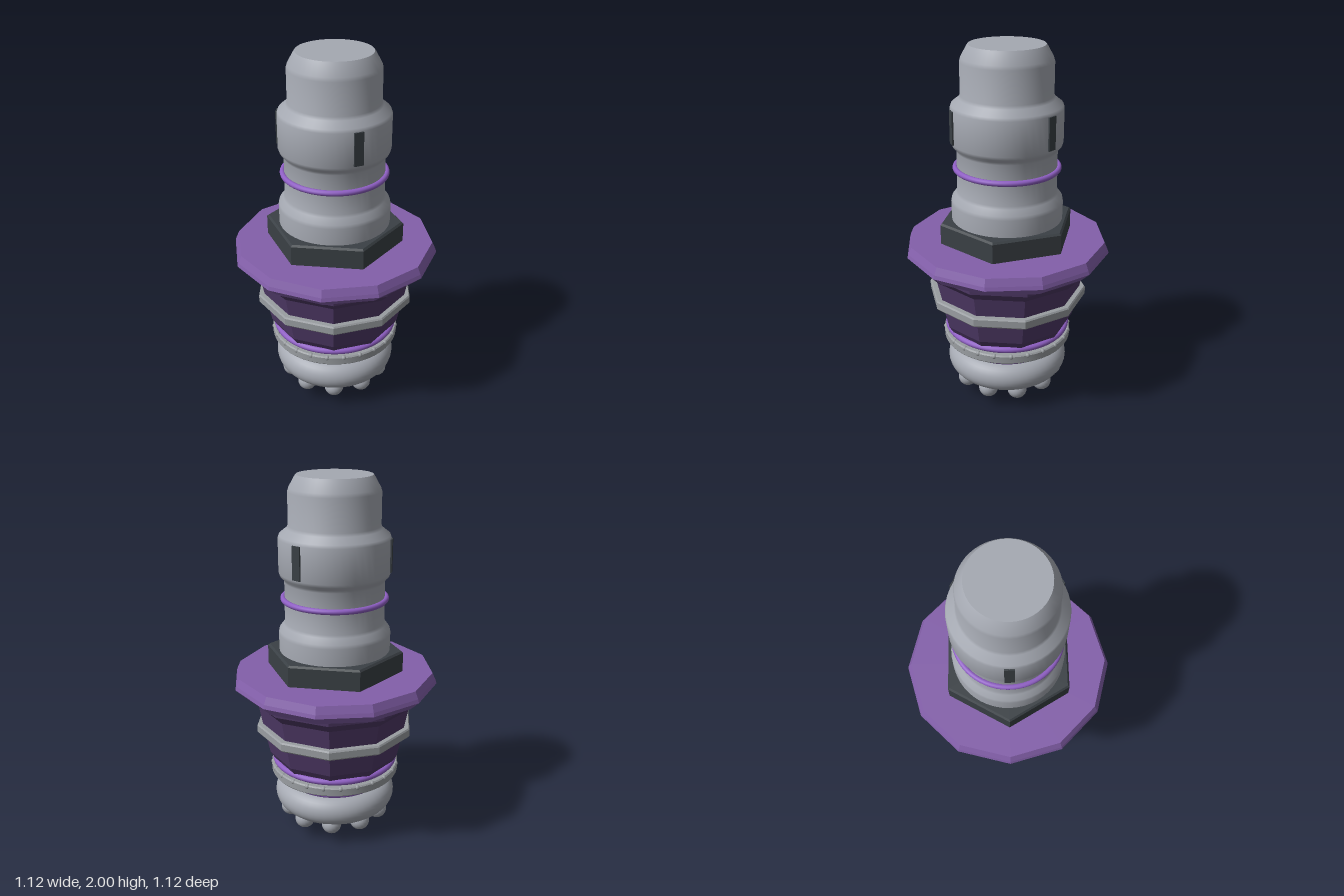
import * as THREE from 'three';
import { toCreasedNormals } from 'three/addons/utils/BufferGeometryUtils.js';

export function createModel() {
  const model = new THREE.Group();
  model.name = 'flangedPlug';

  const mat = (name, color) => {
    const m = new THREE.MeshStandardMaterial({ color });
    m.name = name;
    return m;
  };
  const steel = mat('steelGrey', 0xa5a9b2);
  const wornSteel = mat('wornSteel', 0x9a9ea2);
  const purple = mat('flangePurple', 0x835faa);
  const darkPurple = mat('darkPurple', 0x503a68);
  const brightPurple = mat('sealPurple', 0x8f5fc4);
  const charcoal = mat('charcoal', 0x3a4045);

  const add = (name, geometry, material, parent = model) => {
    const mesh = new THREE.Mesh(geometry, material);
    mesh.name = name;
    parent.add(mesh);
    return mesh;
  };
  // Turned part from [radius, y] pairs listed bottom to top; corners lie on the x axis
  const turned = (name, profile, sides, material, crease = 0.5) => {
    const points = profile.map(([r, y]) => new THREE.Vector2(r, y));
    const geo = new THREE.LatheGeometry(points, sides).rotateY(Math.PI / 2);
    return add(name, toCreasedNormals(geo, crease), material);
  };
  const ring = (name, radius, tube, y, material) => {
    const geo = new THREE.TorusGeometry(radius, tube, 12, 64).rotateX(Math.PI / 2);
    return add(name, geo.translate(0, y, 0), material);
  };
  // Repeats a part around the y axis, starting on +x
  const around = (name, count, build) => {
    const group = new THREE.Group();
    group.name = name;
    for (let i = 0; i < count; i++) {
      const spoke = new THREE.Group();
      spoke.rotation.y = (i / count) * Math.PI * 2;
      build(spoke);
      group.add(spoke);
    }
    model.add(group);
  };

  // Stepped upper shaft with rounded shoulders
  turned('shaft', [
    [0, 1.04], [0.3, 1.04], [0.302, 1.165], [0.298, 1.185], [0.275, 1.215], [0.268, 1.23],
    [0.267, 1.45], [0.272, 1.465], [0.29, 1.482], [0.296, 1.5], [0.296, 1.68],
    [0.29, 1.697], [0.25, 1.728], [0.242, 1.745], [0.242, 1.915], [0.236, 1.935],
    [0.205, 1.99], [0.198, 2], [0, 2],
  ], 48, steel, 0.7);

  around('shaftKeys', 3, (spoke) => {
    add('key', new THREE.BoxGeometry(0.03, 0.175, 0.05), charcoal, spoke).position.set(0.288, 1.592, 0);
  });
  ring('shaftSeal', 0.275, 0.015, 1.355, brightPurple);

  // Hexagonal nut and twelve-sided flange
  turned('hexNut', [
    [0, 0.94], [0.375, 0.94], [0.375, 1.06], [0.364, 1.07], [0, 1.07],
  ], 6, charcoal, 0.01);
  turned('flange', [
    [0, 0.845], [0.51, 0.845], [0.562, 0.895], [0.556, 0.915], [0.538, 0.954], [0, 0.954],
  ], 12, purple, 0.01);

  // Ten-sided tapered housing with a band
  turned('housing', [
    [0, 0.43], [0.345, 0.43], [0.372, 0.475], [0.402, 0.62], [0.43, 0.765], [0.475, 0.815], [0.478, 0.85], [0, 0.85],
  ], 10, darkPurple, 0.01);
  turned('housingBand', [
    [0.38, 0.602], [0.435, 0.602], [0.441, 0.61], [0.441, 0.648], [0.435, 0.656], [0.38, 0.656],
  ], 10, wornSteel, 0.01);
  ring('housingSeal', 0.336, 0.017, 0.42, brightPurple);

  // Knurled collar and the neck beneath it
  turned('collar', [
    [0, 0.345], [0.358, 0.345], [0.361, 0.35], [0.361, 0.388], [0.355, 0.395], [0, 0.395],
  ], 48, wornSteel);
  turned('collarCore', [[0, 0.39], [0.325, 0.39], [0.325, 0.435], [0, 0.435]], 48, wornSteel);
  around('collarStuds', 24, (spoke) => {
    add('stud', new THREE.SphereGeometry(0.014, 10, 8), wornSteel, spoke).position.set(0.352, 0.385, 0);
  });
  turned('neck', [[0, 0.27], [0.145, 0.27], [0.145, 0.35], [0, 0.35]], 32, steel);

  // Rounded cutter head with its seal
  ring('headSeal', 0.268, 0.016, 0.3, brightPurple);
  const bulge = [[0, 0.13], [0.22, 0.13]];
  for (let i = 0; i <= 16; i++) {
    const a = -Math.PI / 2 + (i / 16) * Math.PI;
    bulge.push([0.255 + 0.086 * Math.cos(a), 0.205 + 0.086 * Math.sin(a)]);
  }
  bulge.push([0.25, 0.3], [0, 0.3]);
  turned('head', bulge, 48, steel, 0.8);

  around('headBalls', 10, (spoke) => {
    add('ball', new THREE.SphereGeometry(0.055, 20, 14), steel, spoke).position.set(0.262, 0.115, 0);
  });

  // Pointed centre tip
  turned('tip', [[0, 0.002], [0.012, 0.003], [0.085, 0.045], [0.112, 0.15]], 8, steel, 0.01);

  return model;
}
